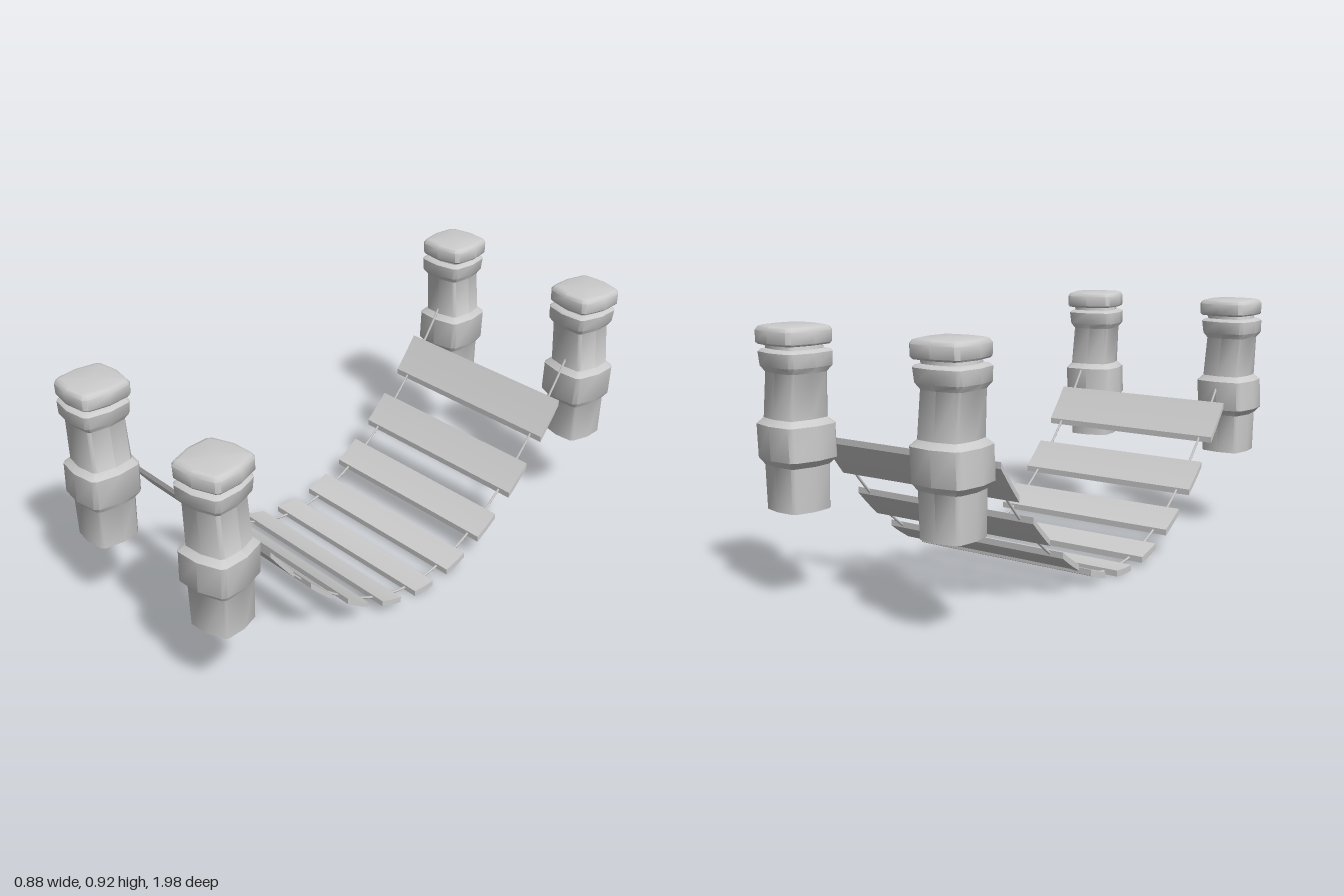
import * as THREE from 'three';
import { toCreasedNormals } from 'three/addons/utils/BufferGeometryUtils.js';

const material = new THREE.MeshStandardMaterial({ color: 0xcccccc, side: THREE.DoubleSide });

// Sagging curve followed by the ropes and planks
const sag = z => 0.011 + 0.99 * z * z;

// Post rings, bottom to top: height, half width, sideways lean
const RINGS = [
  [0.315, 0, 0], [0.315, 0.087, 0], [0.465, 0.09, 0], [0.488, 0.109, -0.003],
  [0.6, 0.109, 0.002], [0.62, 0.088, 0.003], [0.77, 0.085, -0.007], [0.79, 0.1, -0.008],
  [0.836, 0.103, -0.005], [0.843, 0.096, -0.005], [0.846, 0.08, -0.003], [0.857, 0.08, 0],
  [0.86, 0.1, 0], [0.866, 0.105, 0], [0.905, 0.106, 0], [0.917, 0.098, 0],
  [0.921, 0.084, 0], [0.922, 0, 0],
];

// Bulging square section with softened corners
const SECTION = [];
for (let k = 0; k < 4; k++) {
  const c = Math.cos(k * Math.PI / 2), s = Math.sin(k * Math.PI / 2);
  for (const [x, z] of [[1, 0], [0.88, 0.76], [0.76, 0.88]]) {
    SECTION.push([x * c - z * s, x * s + z * c]);
  }
}

function postGeometry(turn) {
  const n = SECTION.length, pos = [], index = [];
  const c = Math.cos(turn), s = Math.sin(turn);
  for (const [y, r, lean] of RINGS) {
    for (const [x, z] of SECTION) pos.push(r * (x * c - z * s) + lean, y, r * (x * s + z * c));
  }
  for (let i = 0; i < RINGS.length - 1; i++) {
    for (let j = 0; j < n; j++) {
      const a = i * n + j, b = i * n + (j + 1) % n;
      if (RINGS[i][1] > 0) index.push(a, a + n, b);
      if (RINGS[i + 1][1] > 0) index.push(b, a + n, b + n);
    }
  }
  const g = new THREE.BufferGeometry();
  g.setAttribute('position', new THREE.Float32BufferAttribute(pos, 3));
  g.setIndex(index);
  return toCreasedNormals(g, 0.72);
}

function plankGeometry(z0) {
  // Board sheared to lie along the sagging curve
  const g = new THREE.BoxGeometry(0.764, 0.022, 0.093, 1, 1, 4);
  g.translate(0.001, 0, z0);
  const p = g.attributes.position;
  for (let i = 0; i < p.count; i++) p.setY(i, p.getY(i) + sag(p.getZ(i)));
  const flat = toCreasedNormals(g, 0.5);
  return flat;
}

function ropeGeometry(x) {
  const pts = [];
  for (let i = 0; i <= 20; i++) {
    const z = -0.81 + 1.59 * i / 20;
    pts.push(new THREE.Vector3(x, sag(z), z));
  }
  return new THREE.TubeGeometry(new THREE.CatmullRomCurve3(pts), 60, 0.0048, 6);
}

export function createModel() {
  const model = new THREE.Group();
  const add = (name, geometry) => {
    const mesh = new THREE.Mesh(geometry, material);
    mesh.name = name;
    model.add(mesh);
    return mesh;
  };

  // Corner posts, each turned a little differently
  const posts = [
    ['frontRightPost', -0.327, 0.857, 0], ['frontLeftPost', 0.328, 0.871, -0.22],
    ['backRightPost', -0.327, -0.88, -0.05], ['backLeftPost', 0.328, -0.885, 0.12],
  ];
  for (const [name, x, z, turn] of posts) add(name, postGeometry(turn)).position.set(x, 0, z);

  // Walkway planks
  for (let i = -4; i <= 4; i++) add('plank' + (i + 5), plankGeometry(i / 6));

  // Ropes carrying the planks
  add('rightRope', ropeGeometry(-0.325));
  add('leftRope', ropeGeometry(0.33));

  return model;
}
